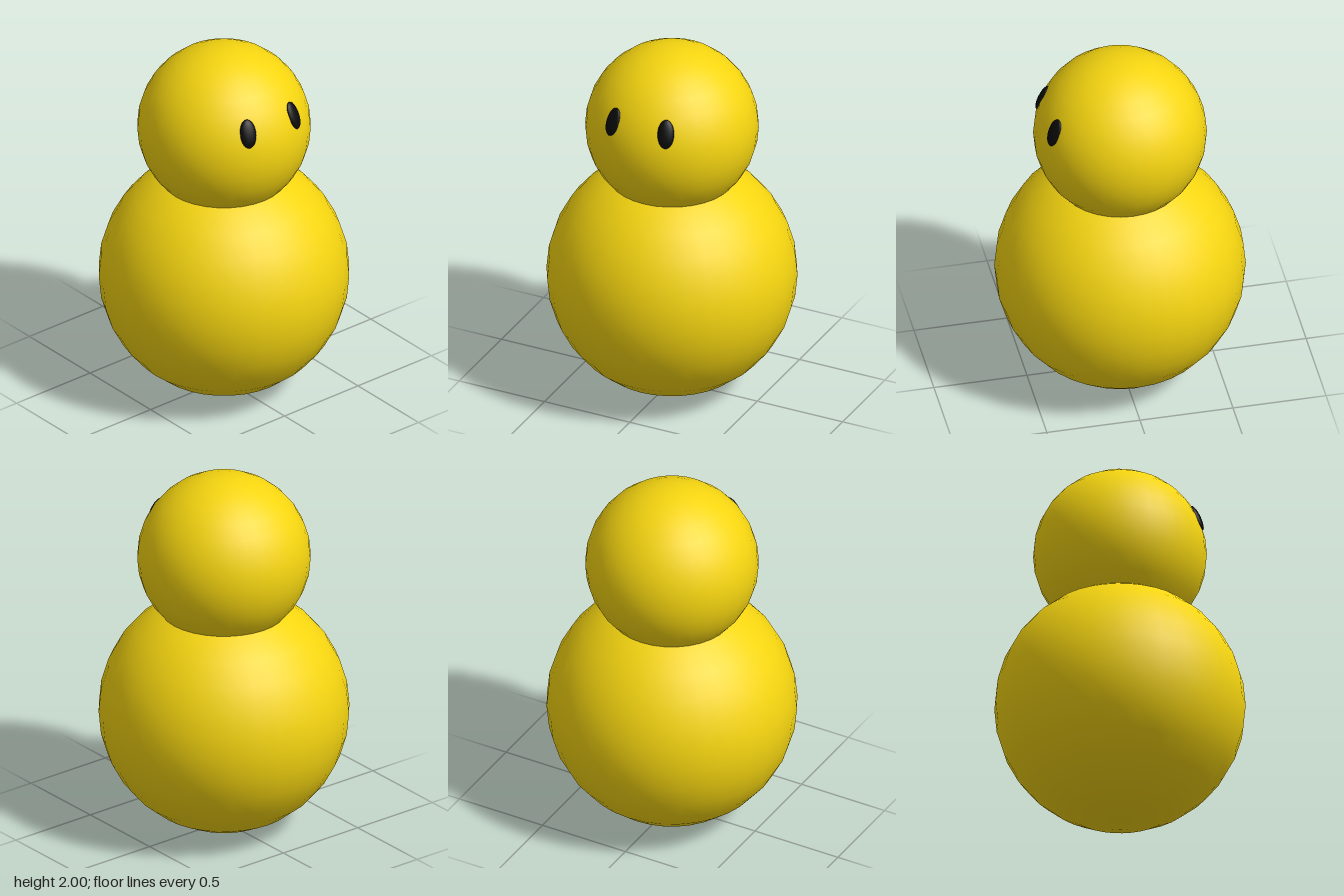
import * as THREE from 'three';

export function createModel() {
  const group = new THREE.Group();
  const yellow = new THREE.MeshStandardMaterial({ color: 0xf5d510 });
  const black = new THREE.MeshStandardMaterial({ color: 0x0a0a0a });

  const addBall = (name, radius, y) => {
    const ball = new THREE.Mesh(new THREE.SphereGeometry(radius, 32, 16), yellow);
    ball.name = name;
    ball.position.y = y;
    group.add(ball);
    return ball;
  };

  // Large round body with a smaller head sunk into its top
  addBall('body', 0.661, 0.662);
  const head = addBall('head', 0.457, 1.543);

  // Flat oval eyes lying on the head, each facing straight out from its centre
  for (const side of [1, -1]) {
    const eye = new THREE.Mesh(new THREE.SphereGeometry(1, 32, 16), black);
    eye.name = side > 0 ? 'leftEye' : 'rightEye';
    const outward = new THREE.Vector3(side * 0.155, 0.173, 0.387).normalize();
    eye.position.copy(outward).multiplyScalar(0.45);
    eye.lookAt(outward.clone().multiplyScalar(2));
    eye.scale.set(0.044, 0.077, 0.02);
    head.add(eye);
  }
  return group;
}
